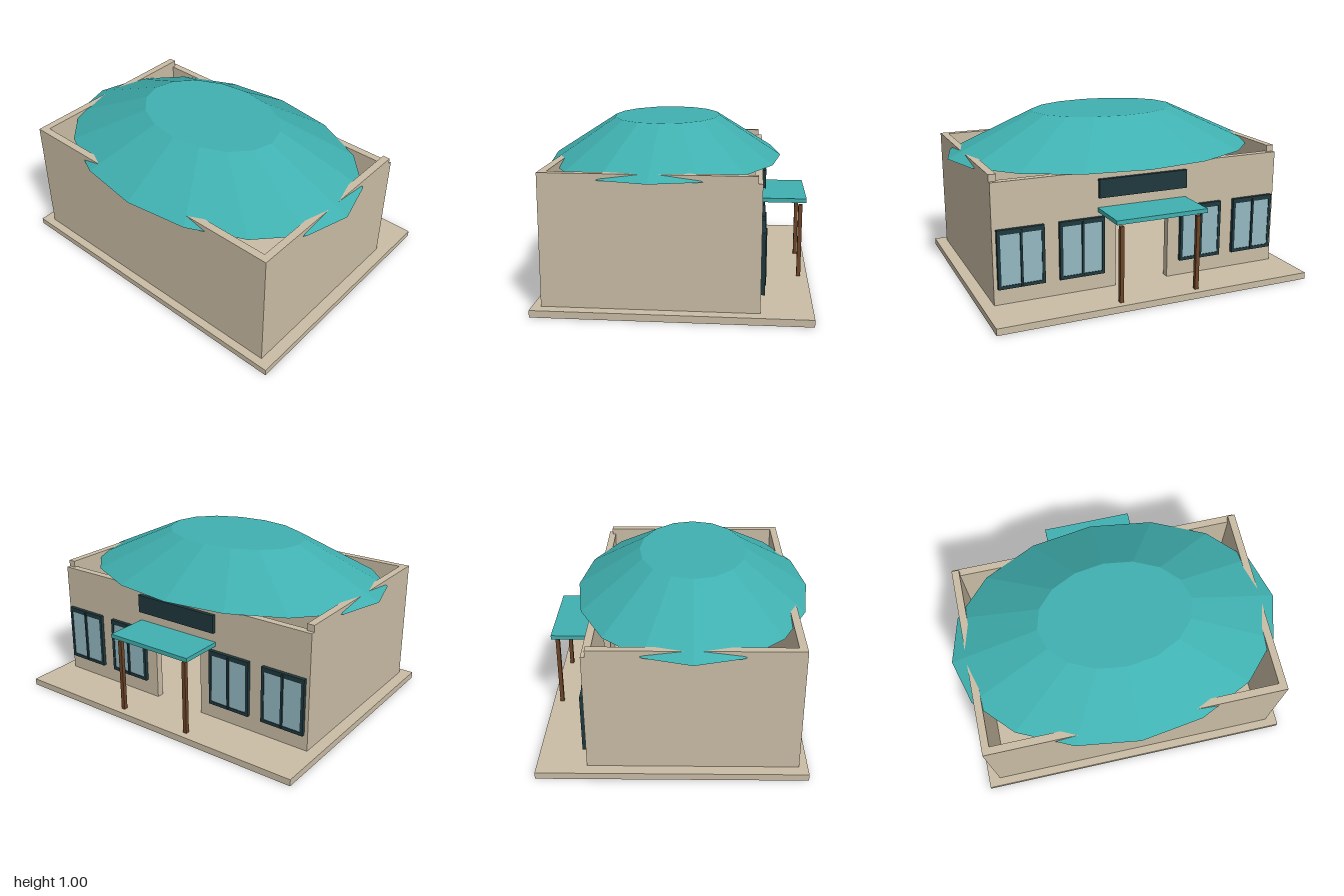
import * as THREE from 'three';

const mat = (name, color) => {
  const m = new THREE.MeshStandardMaterial({ color });
  m.name = name;
  return m;
};

export function createModel() {
  const model = new THREE.Group();
  model.name = 'building';
  const plaster = mat('tan plaster', 0xcabda5);
  const teal = mat('teal metal', 0x40b0b0);
  const dark = mat('dark trim', 0x1f383d);
  const glass = mat('window glass', 0x93b8c0);
  const wood = mat('brown wood', 0x6b4428);

  // Box given by its minimum and maximum corners
  const box = (name, material, [x0, y0, z0], [x1, y1, z1], parent = model) => {
    const mesh = new THREE.Mesh(new THREE.BoxGeometry(x1 - x0, y1 - y0, z1 - z0), material);
    mesh.position.set((x0 + x1) / 2, (y0 + y1) / 2, (z0 + z1) / 2);
    mesh.name = name;
    parent.add(mesh);
    return mesh;
  };

  // Ground slab and the three tall walls
  box('baseSlab', plaster, [-0.98, 0, -0.8], [0.98, 0.04, 0.74]);
  box('plainWall', plaster, [-0.91, 0.04, 0.645], [0.91, 0.79, 0.69]);
  for (const s of [-1, 1]) {
    const wall = box('sideWall', plaster, [0.865, 0.04, -0.49], [0.91, 0.79, 0.645]);
    wall.position.x *= s;
  }

  // Entrance wall, slightly lower, with a doorway cut from the bottom
  const outline = [[-0.91, 0.04], [-0.17, 0.04], [-0.17, 0.46], [0.17, 0.46],
    [0.17, 0.04], [0.91, 0.04], [0.91, 0.75], [-0.91, 0.75]];
  const shape = new THREE.Shape(outline.map(([x, y]) => new THREE.Vector2(x, y)));
  const entrance = new THREE.Mesh(
    new THREE.ExtrudeGeometry(shape, { depth: 0.045, bevelEnabled: false }), plaster);
  entrance.position.z = -0.513;
  entrance.name = 'entranceWall';
  model.add(entrance);

  // Faceted oval roof with a flat top
  let roofGeo = new THREE.CylinderGeometry(0.46, 1, 0.245, 16);
  roofGeo.scale(1, 1, 0.71);
  roofGeo = roofGeo.toNonIndexed();
  roofGeo.computeVertexNormals();
  const roof = new THREE.Mesh(roofGeo, teal);
  roof.position.set(0, 0.8775, 0.085);
  roof.name = 'roof';
  model.add(roof);

  // Windows: dark frame bars, glass and a proud centre mullion
  for (const x of [-0.75, -0.385, 0.385, 0.75]) {
    const win = new THREE.Group();
    win.name = 'window';
    win.position.x = x;
    model.add(win);
    box('frameTop', dark, [-0.138, 0.455, -0.535], [0.138, 0.483, -0.512], win);
    box('frameBottom', dark, [-0.138, 0.137, -0.535], [0.138, 0.157, -0.512], win);
    for (const s of [-1, 1]) {
      const side = box('frameSide', dark, [0.12, 0.157, -0.535], [0.138, 0.455, -0.512], win);
      side.position.x *= s;
    }
    box('pane', glass, [-0.12, 0.157, -0.531], [0.12, 0.455, -0.522], win);
    box('mullion', dark, [-0.006, 0.147, -0.542], [0.006, 0.473, -0.512], win);
  }

  // Blank sign board above the entrance
  box('signBoard', dark, [-0.28, 0.595, -0.536], [0.28, 0.705, -0.512]);

  // Canopy on two posts
  box('canopy', teal, [-0.283, 0.51, -0.78], [0.283, 0.535, -0.512]);
  for (const x of [-0.24, 0.24]) {
    box('canopyPost', wood, [x - 0.012, 0.04, -0.758], [x + 0.012, 0.49, -0.734]);
  }
  return model;
}
